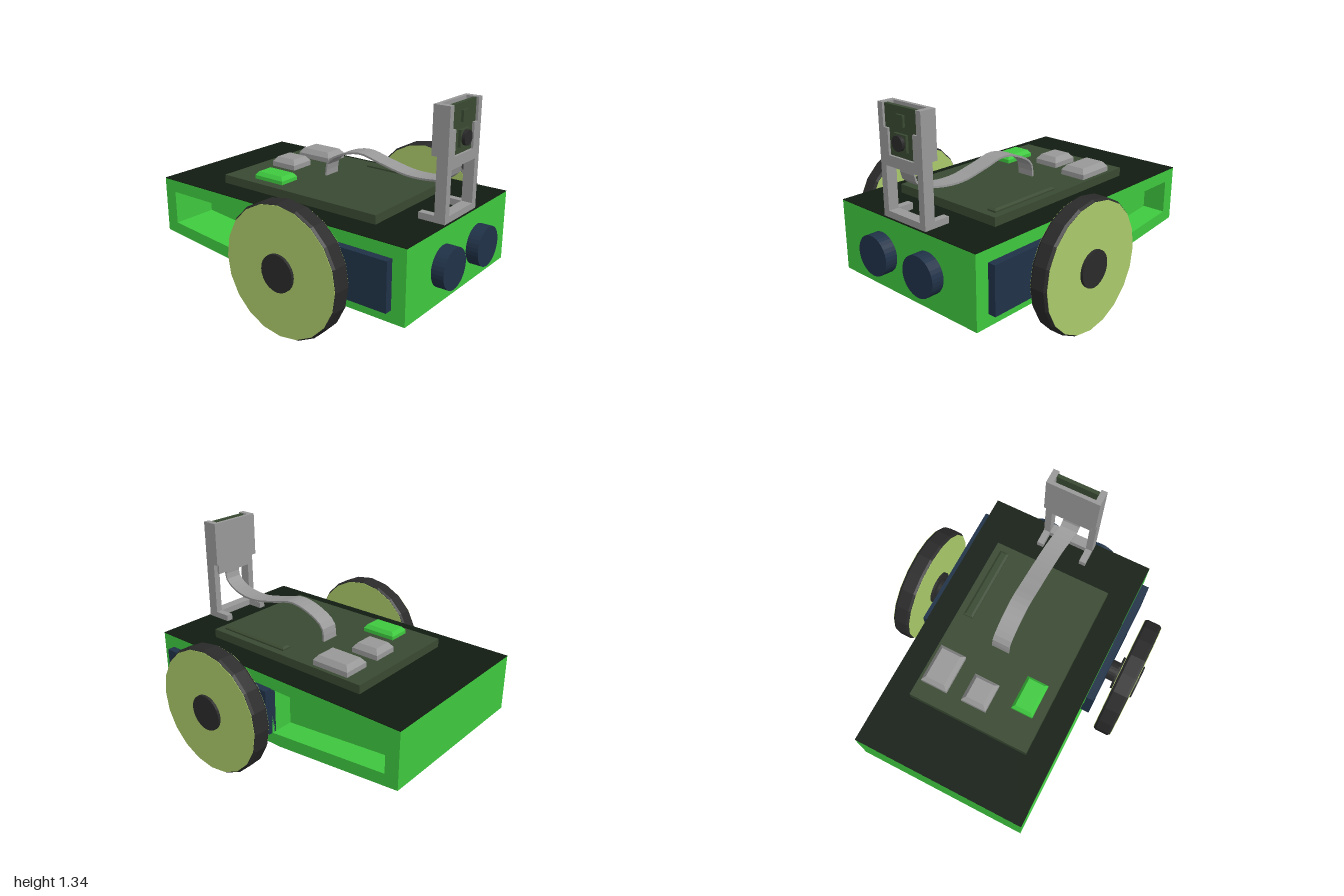
import * as THREE from 'three';

const mat = (color) => new THREE.MeshStandardMaterial({ color, flatShading: true });
const M = {
  green: mat(0x3fca3f), dark: mat(0x121c12), board: mat(0x3a4a32), navy: mat(0x203248),
  grey: mat(0x999999), black: mat(0x2a2a2a), lime: mat(0xabcb6a),
};

export function createModel() {
  const model = new THREE.Group();

  const add = (name, geometry, material, parent = model) => {
    const mesh = new THREE.Mesh(geometry, material);
    mesh.name = name;
    parent.add(mesh);
    return mesh;
  };
  // Box given by its limits on each axis
  const box = (name, material, [x0, x1], [y0, y1], [z0, z1], parent) => {
    const g = new THREE.BoxGeometry(x1 - x0, y1 - y0, z1 - z0);
    g.translate((x0 + x1) / 2, (y0 + y1) / 2, (z0 + z1) / 2);
    return add(name, g, material, parent);
  };
  // Box whose upper rim is chamfered inwards
  const chip = (name, material, [x0, x1], [y0, y1], [z0, z1], inset = 0.025) => {
    const w = x1 - x0, h = y1 - y0, d = z1 - z0;
    const g = new THREE.BoxGeometry(w, h, d, 1, 2, 1);
    const p = g.attributes.position;
    for (let i = 0; i < p.count; i++) {
      if (p.getY(i) > h * 0.4) {
        p.setX(i, p.getX(i) * (1 - 2 * inset / w));
        p.setZ(i, p.getZ(i) * (1 - 2 * inset / d));
      }
    }
    g.translate((x0 + x1) / 2, (y0 + y1) / 2, (z0 + z1) / 2);
    return add(name, g, material);
  };
  const points = (list) => list.map(([x, y]) => new THREE.Vector2(x, y));

  // Chassis: solid core between two side slabs with a pocket in each
  const outline = [[-1, 0.29], [-0.12, 0.2], [0.92, 0.2], [0.92, 0.66], [-1, 0.66]];
  const pocket = [[-0.91, 0.36], [-0.91, 0.58], [-0.07, 0.58], [-0.07, 0.277]];
  const chassis = new THREE.Group();
  chassis.name = 'chassis';
  model.add(chassis);
  const slab = (name, z0, z1, hollow) => {
    const s = new THREE.Shape(points(outline));
    if (hollow) s.holes.push(new THREE.Path(points(pocket)));
    const g = new THREE.ExtrudeGeometry(s, { depth: z1 - z0, bevelEnabled: false });
    g.translate(0, 0, z0);
    add(name, g, M.green, chassis);
  };
  slab('chassisCore', -0.42, 0.27, false);
  slab('frontSideFrame', 0.27, 0.58, true);
  slab('backSideFrame', -0.58, -0.42, true);
  box('deck', M.dark, [-1, 0.92], [0.66, 0.664], [-0.58, 0.58]);

  // Circuit board with its components
  box('circuitBoard', M.board, [-0.6, 0.6], [0.664, 0.72], [-0.41, 0.41]);
  chip('largeConnector', M.grey, [-0.49, -0.23], [0.72, 0.785], [-0.385, -0.205]);
  chip('smallConnector', M.grey, [-0.49, -0.3], [0.72, 0.785], [-0.1, 0.07]);
  chip('greenConnector', M.green, [-0.39, -0.16], [0.72, 0.767], [0.2, 0.345], 0.018);
  chip('pinHeader', M.board, [0.03, 0.55], [0.72, 0.74], [-0.365, -0.3], 0.014);

  // Round sensors on the end face
  for (const z of [-0.2, 0.2]) {
    const g = new THREE.CylinderGeometry(0.127, 0.127, 0.1, 32);
    g.rotateZ(Math.PI / 2);
    add('sensor', g, M.navy).position.set(0.95, 0.43, z);
  }

  // Motors and wheels, one set on each side
  const drum = (name, r, z0, z1, material, parent, sides = 24) => {
    const g = new THREE.CylinderGeometry(r, r, z1 - z0, sides);
    g.rotateX(Math.PI / 2);
    g.translate(0, 0, (z0 + z1) / 2);
    return add(name, g, material, parent);
  };
  for (const side of [1, -1]) {
    const z = (a, b) => (side > 0 ? [a, b] : [-b, -a]);
    box('motor', M.navy, [-0.07, 0.83], [0.277, 0.583], z(0.55, 0.63));
    const wheel = new THREE.Group();
    wheel.name = side > 0 ? 'frontWheel' : 'backWheel';
    wheel.position.set(0.235, 0.415, 0);
    wheel.rotation.y = side > 0 ? 0 : Math.PI;
    model.add(wheel);
    const tyre = new THREE.LatheGeometry(points([
      [0.3, 0.705], [0.402, 0.705], [0.412, 0.72], [0.412, 0.805], [0.402, 0.82], [0.3, 0.82],
    ]), 20);
    tyre.rotateX(Math.PI / 2);
    tyre.scale(1, 1, -1);
    const m = M.black.clone();
    m.side = THREE.DoubleSide;
    // Keep the ring on the outer side after turning the lathe axis
    if (tyre.attributes.position.getZ(0) < 0) tyre.scale(1, 1, -1);
    add('tyre', tyre, m, wheel);
    drum('disc', 0.4, 0.702, 0.823, M.lime, wheel, 20);
    drum('axle', 0.07, 0.6, 0.71, M.black, wheel);
    drum('hub', 0.115, 0.685, 0.84, M.black, wheel);
  }

  // Camera mast
  const mast = new THREE.Group();
  mast.name = 'cameraMast';
  model.add(mast);
  for (const s of [1, -1]) {
    const z = (a, b) => (s > 0 ? [a, b] : [-b, -a]);
    box('mastLeg', M.grey, [0.84, 0.91], [0.66, 1.05], z(0.135, 0.18), mast);
    box('mastFoot', M.grey, [0.735, 0.85], [0.66, 0.705], z(0.135, 0.18), mast);
    box('holderSide', M.grey, [0.805, 0.91], [1.05, 1.34], z(0.14, 0.18), mast);
    box('holderLip', M.grey, [0.83, 0.91], [1.04, 1.2], z(0.105, 0.145), mast);
  }
  box('mastFootBar', M.grey, [0.84, 0.91], [0.66, 0.705], [-0.14, 0.14], mast);
  box('holderSill', M.grey, [0.84, 0.91], [0.98, 1.045], [-0.14, 0.14], mast);
  box('holderBack', M.grey, [0.805, 0.83], [1.05, 1.34], [-0.15, 0.15], mast);
  box('holderBackSill', M.grey, [0.825, 0.86], [0.98, 1.07], [-0.15, 0.15], mast);

  // Camera board and lens
  box('cameraBoard', M.board, [0.87, 0.895], [1.04, 1.335], [-0.14, 0.14], mast);
  box('cameraBlock', M.board, [0.89, 0.912], [1.085, 1.185], [-0.052, 0.052], mast);
  box('cameraChip', M.board, [0.89, 0.91], [1.225, 1.292], [-0.03, 0.03], mast);
  const lens = new THREE.CylinderGeometry(0.045, 0.045, 0.04, 24);
  lens.rotateZ(Math.PI / 2);
  add('lens', lens, M.black, mast).position.set(0.913, 1.135, 0);

  // Ribbon cable: a flat bar bent along a curve
  const path = new THREE.CatmullRomCurve3([
    [-0.07, 0.72, -0.04], [-0.055, 0.81, -0.04], [0.05, 0.88, -0.04], [0.2, 0.915, -0.04],
    [0.36, 0.88, -0.04], [0.54, 0.845, -0.038], [0.7, 0.85, -0.025], [0.82, 0.88, 0],
    [0.86, 0.92, 0.003], [0.865, 0.99, 0.005],
  ].map((p) => new THREE.Vector3(...p)));
  const ribbon = new THREE.BoxGeometry(1, 0.012, 0.12, 28, 1, 1);
  const p = ribbon.attributes.position;
  for (let i = 0; i < p.count; i++) {
    const t = THREE.MathUtils.clamp(p.getX(i) + 0.5, 0, 1);
    const c = path.getPointAt(t), d = path.getTangentAt(t);
    const y = p.getY(i);
    p.setXYZ(i, c.x - d.y * y, c.y + d.x * y, c.z + p.getZ(i));
  }
  ribbon.computeVertexNormals();
  add('ribbonCable', ribbon, M.grey);

  return model;
}
